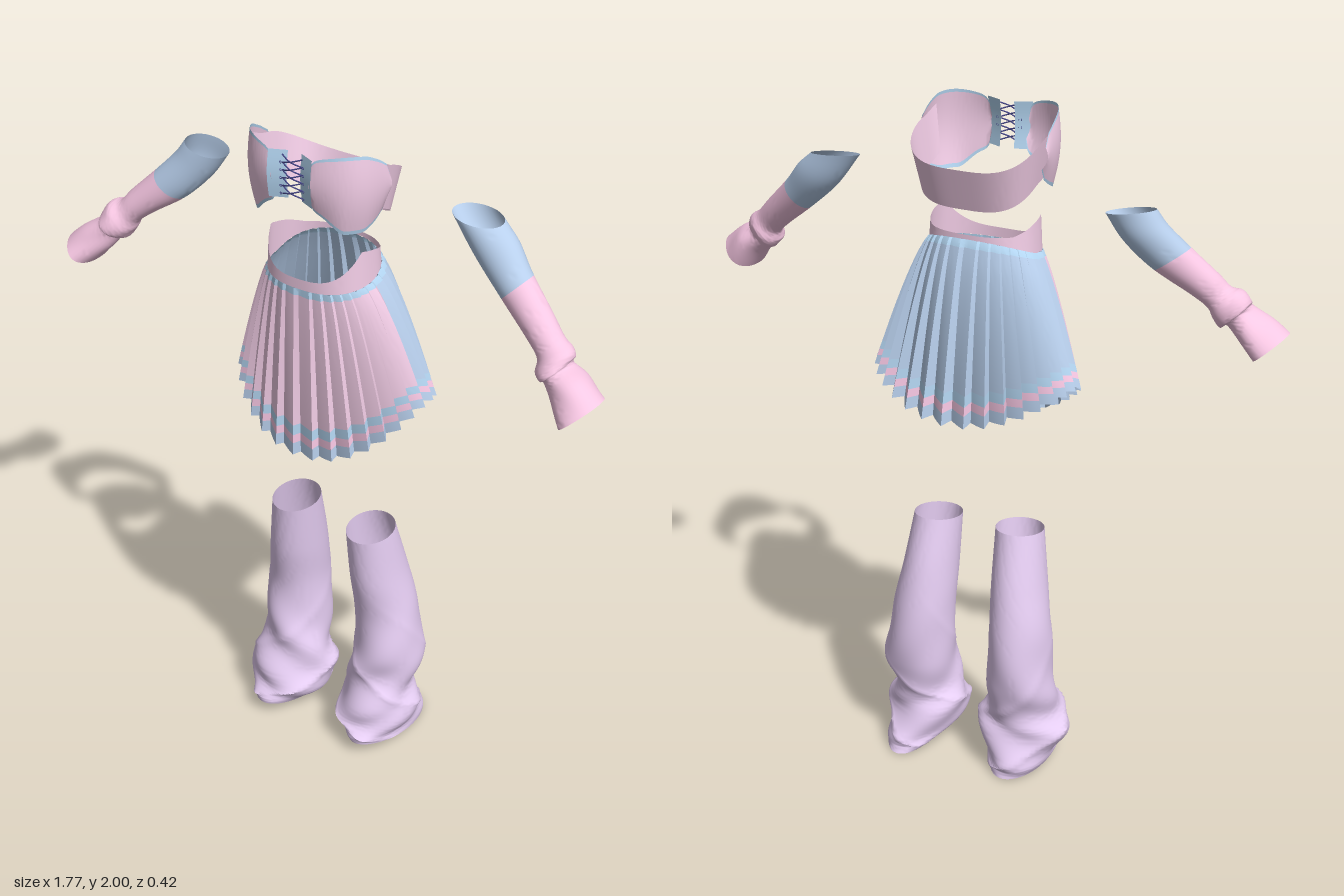
import * as THREE from 'three';
import { toCreasedNormals } from 'three/addons/utils/BufferGeometryUtils.js';
import { ParametricGeometry } from 'three/addons/geometries/ParametricGeometry.js';

const PINK = 0xf2cde6, BLUE = 0xb8cfec, LILAC = 0xe6cef3, ROSE = 0xf8c8e4, SKY = 0xb4d6f2, LACE = 0x4a4a90;
const { sin, cos, abs, sign, PI, min, max } = Math;
const lerp = THREE.MathUtils.lerp, smooth = THREE.MathUtils.smoothstep;
const sPow = (t, e) => sign(t) * abs(t) ** e;

function mat(color) {
  return new THREE.MeshStandardMaterial({ color, side: THREE.DoubleSide });
}

// Thin cloth surface: fn(u, v) -> [x, y, z] over the given u and v ranges
function cloth(name, color, fn, [u0, u1], [v0, v1], nu, nv, crease = 1) {
  const geo = new ParametricGeometry((u, v, t) => t.set(...fn(lerp(u0, u1, u), lerp(v0, v1, v))), nu, nv);
  const mesh = new THREE.Mesh(toCreasedNormals(geo, crease), mat(color));
  mesh.name = name;
  return mesh;
}

// Sideways range that keeps the outer face outward on both sides of the body
const outward = side => side > 0 ? [0, 1] : [1, 0];

function cord(name, color, points, radius) {
  const curve = new THREE.CatmullRomCurve3(points.map(p => new THREE.Vector3(...p)));
  const mesh = new THREE.Mesh(new THREE.TubeGeometry(curve, 6, radius, 5), mat(color));
  mesh.name = name;
  return mesh;
}

// Sleeve through rings [px, py, qx, qy, z, depth, tilt]: p and q are the two side points of each ring
function sleeveSurface(rings, side, ripple) {
  const track = pick => new THREE.CatmullRomCurve3(
    rings.map(r => new THREE.Vector3(...pick(r))), false, 'catmullrom', 0.5);
  const P = track(r => [r[0], r[1], 0]), Q = track(r => [r[2], r[3], 0]), D = track(r => [r[4], r[5], r[6] || 0]);
  return (u, v) => {
    const a = u * 2 * PI, p = P.getPoint(v), q = Q.getPoint(v), d = D.getPoint(v), r = 1 + ripple(a, v);
    const k = 0.5 * cos(a) * r, z = d.y * sin(a) * r;
    const x = (p.x + q.x) / 2 + (q.x - p.x) * k;
    const y = (p.y + q.y) / 2 + (q.y - p.y) * k + d.z * z;
    return [side * x, max(0, y), d.x + z];
  };
}

// ---- Arm sleeves ----
const LEFT_ARM = [
  [.35, 1.835, .50, 1.825, -.045, .05, -.15], [.43, 1.735, .55, 1.785, -.035, .055], [.53, 1.65, .605, 1.725, -.01, .052],
  [.63, 1.575, .69, 1.645, .02, .048], [.675, 1.535, .735, 1.60, .035, .047], [.68, 1.505, .765, 1.58, .045, .062],
  [.70, 1.485, .775, 1.56, .055, .062], [.715, 1.485, .775, 1.545, .06, .054],
  [.75, 1.455, .825, 1.525, .07, .07], [.79, 1.40, .88, 1.48, .085, .085]];
const RIGHT_ARM = [
  [.405, 1.785, .545, 1.81, -.045, .052, -.1], [.455, 1.715, .575, 1.765, -.035, .055], [.53, 1.64, .625, 1.71, -.01, .052],
  [.63, 1.575, .70, 1.635, .02, .048], [.675, 1.54, .73, 1.60, .035, .047], [.69, 1.51, .76, 1.59, .045, .062],
  [.71, 1.485, .785, 1.56, .055, .062], [.725, 1.49, .785, 1.545, .06, .054],
  [.755, 1.45, .835, 1.51, .07, .07], [.80, 1.40, .88, 1.47, .085, .085]];

function armSleeve(name, rings, side) {
  const g = new THREE.Group();
  g.name = name;
  const f = sleeveSurface(rings, side, (a, v) => 0.06 * smooth(v, 0.5, 0.65) * sin(3 * a + 14 * v));
  g.add(cloth('upperSleeve', BLUE, f, outward(side), [0, 0.23], 32, 14));
  g.add(cloth('lowerSleeve', ROSE, f, outward(side), [0.23, 1], 32, 50));
  return g;
}

// ---- Leg warmers: [inner x, outer x, y, z centre, depth, tilt] ----
const LEFT_LEG = [
  [.06, .20, .755, 0, .08, -.12], [.06, .22, .60, -.03, .1, -.05], [.06, .25, .45, -.055, .105, 0],
  [.065, .27, .30, -.05, .12, .1], [.05, .26, .20, -.03, .105, .15], [.035, .275, .13, -.02, .135, 0],
  [.055, .265, .06, -.025, .165, .1], [.1, .255, .022, -.035, .175, .13]];
const RIGHT_LEG = [
  [.07, .21, .765, 0, .08, -.12], [.075, .235, .60, -.03, .1, -.05], [.08, .26, .45, -.055, .105, 0],
  [.075, .268, .30, -.05, .12, .1], [.05, .285, .20, -.03, .105, .15], [.035, .31, .13, -.02, .135, 0],
  [.055, .285, .06, -.02, .16, .1], [.09, .265, .022, -.02, .165, .13]];

function legWarmer(name, rings, side) {
  // Diagonal folds with a sharp crease, strongest around the ankle
  const crease = (a, v) => 0.55 - abs(sin(a + 9 * v)) ** 0.6;
  const wrinkle = (a, v) => smooth(v, 0.15, 0.6) * (1 - 0.6 * smooth(v, 0.85, 1)) *
    (0.05 * sin(2 * a + 17 * v) + 0.05 * sin(3 * a - 24 * v + 1) + 0.15 * crease(a, v));
  const f = sleeveSurface(rings.map(([i, o, y, ...rest]) => [i, y, o, y, ...rest]), side, wrinkle);
  return cloth(name, LILAC, f, outward(side), [0, 1], 60, 76, 1.2);
}

// ---- Pleated skirt: angle 0 faces front ----
const PLEATS = 32, STEP = 2 * PI / PLEATS;
const waistSeam = a => 1.6 + (cos(a) > 0 ? -0.02 : -0.052) * cos(a);
function waistPoint(a) {
  return [0.16 * sPow(sin(a), 0.8), 0.05 + 0.122 * sPow(cos(a), 0.85)];
}
function skirtPoint(a, v) {
  const t = ((a / STEP) % 1 + 1) % 1;
  const saw = (t < 0.8 ? t / 0.8 : (1 - t) / 0.2) - 0.5;
  const c = cos(a), [wx, wz] = waistPoint(a);
  const hem = 1.24 - (c > 0 ? 0.185 * c ** 1.6 : 0.1 * abs(c) ** 2.2);
  const open = v ** 0.78, openBack = v ** (0.73 + 0.05 * c), pleat = saw * (0.005 + (0.022 - 0.008 * c) * v);
  return [
    lerp(wx, 0.3 * sPow(sin(a), 0.95), open) + pleat * sin(a),
    lerp(waistSeam(a), hem, v) - saw * 0.006 * v,
    lerp(wz, -0.002 + 0.178 * sPow(c, 0.9), openBack) + pleat * c];
}
function waistbandPoint(a, v) {
  const c = cos(a), [x, z] = waistPoint(a);
  const top = c > 0.25 ? 1.61 + 0.09 * (1 - (c - 0.25) / 0.75) ** 1.3 : 1.70 - 0.035 * min(1, (0.25 - c) / 0.9);
  return [x * (1 - 0.03 * v), lerp(waistSeam(a), top, v), z];
}
function skirt() {
  const g = new THREE.Group();
  g.name = 'skirt';
  const left = 8 * STEP, right = -7 * STEP;
  const sides = [['front', PINK, [left, right]], ['back', BLUE, [2 * PI + right, left]]];
  for (const [name, color, range] of sides) {
    const bands = [[0, 0.04, SKY], [0.04, 0.82, color], [0.82, 0.88, SKY], [0.88, 0.93, ROSE], [0.93, 1, BLUE]];
    const columns = Math.round(abs(range[0] - range[1]) / STEP) * 5;
    for (const [v0, v1, c] of bands)
      g.add(cloth(name + 'Pleats', c, skirtPoint, range, [v0, v1], columns, v1 - v0 > 0.5 ? 12 : 2, 0.5));
  }
  g.add(cloth('waistband', PINK, waistbandPoint, [0, 2 * PI], [0, 1], 72, 3));
  return g;
}

// ---- Bandeau top ----
// Back band, tapering inward toward its lower edge
function bandPoint(a, v) {
  const k = cos(a) + 1;
  return [
    0.192 * sPow(sin(a), 0.6) * lerp(0.89, 1, v),
    lerp(1.74 + 0.07 * k, 1.86 + 0.08 * k, v),
    0.04 + 0.158 * sPow(cos(a), 0.7) * lerp(0.78, 1, v)];
}
// Front panel, u from centre edge to side edge, corners rounded
function panelPoint(u, v, side) {
  const a = lerp(0.2, 1.6, u), h = (1 - 0.96 * abs(2 * u - 1) ** 12) ** 0.3;
  const bulge = 1 + 0.05 * sin(PI * v) - 0.06 * (1 - v) ** 2;
  const sideEnd = smooth(u, 0.7, 1);
  const top = 1.98 + 0.018 * sin(PI * u) - 0.015 * sideEnd;
  const bottom = 1.825 - 0.05 * smooth(u, 0.05, 0.45) + 0.02 * sideEnd;
  return [
    side * 0.193 * sPow(sin(a), 0.75) * bulge,
    (top + bottom) / 2 + (v - 0.5) * (top - bottom) * h,
    0.04 + 0.16 * sPow(cos(a), 0.65) * bulge];
}
function bandeau() {
  const g = new THREE.Group();
  g.name = 'bandeauTop';
  g.add(cloth('backBand', PINK, bandPoint, [1.25, 2 * PI - 1.25], [0, 1], 64, 4));
  for (const side of [1, -1]) {
    // Panel with trimmed upper and lower edges
    const f = (u, v) => panelPoint(u, v, side);
    g.add(cloth('frontPanel', PINK, f, outward(side), [0.05, 0.96], 48, 14));
    g.add(cloth('lowerTrim', SKY, f, outward(side), [0, 0.05], 48, 1));
    g.add(cloth('upperTrim', SKY, f, outward(side), [0.96, 1], 48, 1));
    // Laced placket
    const placket = (u, v) => [side * lerp(0.022, 0.07, u), lerp(1.845, 1.98, v),
      lerp(0.178, 0.2, u) + 0.008 * sin(PI * v)];
    g.add(cloth('lacePlacket', SKY, placket, outward(side), [0, 1], 4, 8));
    // Crossing laces and eyelets
    for (let i = 0; i < 5; i++) {
      const y = 1.86 + i * 0.022;
      g.add(cord('lace', LACE, [[side * 0.032, y, 0.19], [0, y + 0.011, 0.2], [-side * 0.032, y + 0.022, 0.19]], 0.002));
      const eyelet = new THREE.Mesh(new THREE.TorusGeometry(0.003, 0.001, 5, 10), mat(LACE));
      eyelet.name = 'eyelet';
      eyelet.position.set(side * 0.036, y, 0.193);
      g.add(eyelet);
    }
  }
  return g;
}

export function createModel() {
  const model = new THREE.Group();
  model.name = 'outfit';
  model.add(
    bandeau(), skirt(),
    armSleeve('leftArmSleeve', LEFT_ARM, 1), armSleeve('rightArmSleeve', RIGHT_ARM, -1),
    legWarmer('leftLegWarmer', LEFT_LEG, 1), legWarmer('rightLegWarmer', RIGHT_LEG, -1));
  return model;
}
